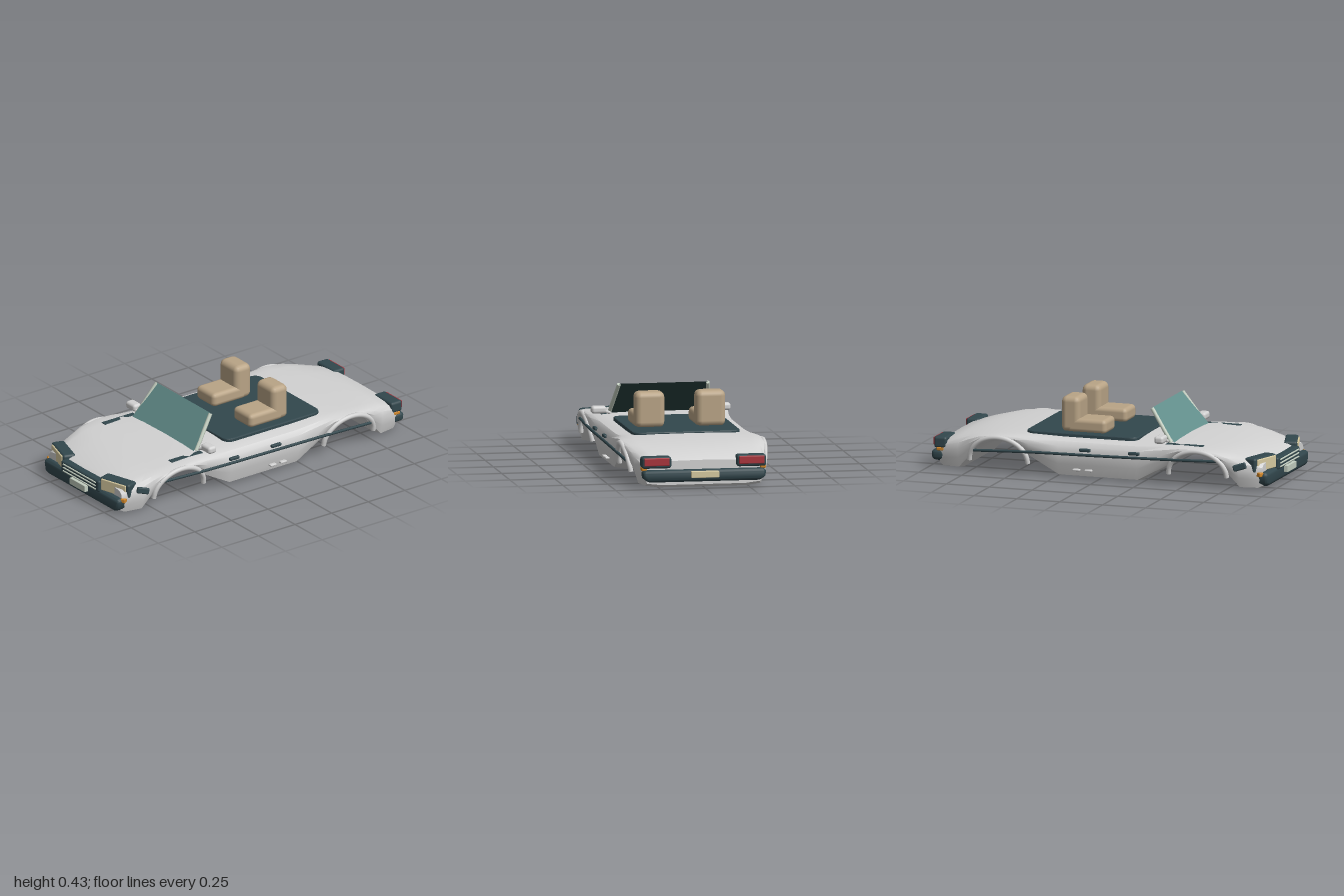
import * as THREE from 'three';
import { toCreasedNormals } from 'three/addons/utils/BufferGeometryUtils.js';
import { RoundedBoxGeometry } from 'three/addons/geometries/RoundedBoxGeometry.js';

const paint = (name, color) => Object.assign(new THREE.MeshStandardMaterial({ color }), { name });

export function createModel() {
  const car = new THREE.Group();
  car.name = 'convertible';
  const white = paint('bodyPaint', 0xd2d2d2);
  const dark = paint('darkTrim', 0x32474d);
  const glass = paint('glass', 0x64908d);
  const glassDark = paint('glassInside', 0x28403f);
  const tan = paint('seatLeather', 0xb9a486);
  const cream = paint('headlightLens', 0xd6c99f);
  const pale = paint('paleTrim', 0xc3cec0);
  const orange = paint('indicator', 0xd2882a);
  const red = paint('tailLens', 0xa8323a);

  const add = (name, geo, mat, x = 0, y = 0, z = 0, ry = 0) => {
    const m = new THREE.Mesh(geo, mat);
    m.name = name;
    m.position.set(x, y, z);
    m.rotation.y = ry;
    car.add(m);
    return m;
  };
  const box = (name, mat, [w, h, d], [x, y, z], r = 0.01, ry = 0) =>
    add(name, new RoundedBoxGeometry(w, h, d, 2, Math.min(r, w * 0.49, h * 0.49, d * 0.49)), mat, x, y, z, ry);
  const tube = (name, mat, pts, r) => add(name, new THREE.TubeGeometry(
    new THREE.CatmullRomCurve3(pts.map(p => new THREE.Vector3(...p))), 32, r, 10), mat);
  const rod = (name, mat, a, b, r) => {
    const p = new THREE.Vector3(...a), q = new THREE.Vector3(...b);
    const m = add(name, new THREE.CylinderGeometry(r, r, p.distanceTo(q), 10), mat);
    m.position.copy(p).lerp(q, 0.5);
    m.quaternion.setFromUnitVectors(new THREE.Vector3(0, 1, 0), q.sub(p).normalize());
  };

  // Body loft: z, half width, top, underside (rising over the wheel openings)
  const stations = [
    [-0.94, 0.335, 0.15, 0.015], [-0.92, 0.345, 0.165, 0], [-0.82, 0.365, 0.195, 0], [-0.755, 0.38, 0.206, 0.075],
    [-0.69, 0.392, 0.214, 0.15], [-0.58, 0.4, 0.222, 0.185], [-0.47, 0.395, 0.226, 0.155], [-0.4, 0.39, 0.227, 0.1],
    [-0.23, 0.39, 0.228, 0], [0.23, 0.39, 0.228, 0], [0.4, 0.392, 0.227, 0.1], [0.47, 0.396, 0.225, 0.155],
    [0.58, 0.402, 0.22, 0.185], [0.69, 0.395, 0.211, 0.15], [0.755, 0.385, 0.204, 0.075], [0.82, 0.375, 0.193, 0],
    [0.92, 0.35, 0.168, 0], [0.945, 0.34, 0.155, 0.015]];
  const half = [[0, 0], [0.7, 0], [0.94, 0.07], [0.985, 0.35], [1, 0.6], [0.985, 0.78], [0.93, 0.89], [0.8, 0.945], [0.45, 0.985], [0, 1]];
  const ring = [...half, ...half.slice(1, -1).reverse().map(([x, y]) => [-x, y])];
  const n = ring.length, pos = [], idx = [];
  for (const [z, w, top, low] of stations)
    for (const [x, t] of ring) pos.push(x * w, low + t * (top - low), z);
  for (let i = 0; i < stations.length - 1; i++)
    for (let j = 0; j < n; j++) {
      const a = i * n + j, b = i * n + (j + 1) % n;
      idx.push(a, b, a + n, b, b + n, a + n);
    }
  const last = (stations.length - 1) * n;
  for (let j = 1; j < n - 1; j++) idx.push(0, j + 1, j, last, last + j, last + j + 1);
  const shell = new THREE.BufferGeometry();
  shell.setAttribute('position', new THREE.Float32BufferAttribute(pos, 3));
  shell.setIndex(idx);
  add('body', toCreasedNormals(shell, 0.6), white);

  // Cockpit deck with rounded corners
  const hw = 0.295, hl = 0.32, c = 0.05;
  const plan = new THREE.Shape();
  plan.moveTo(-hw + c, -hl);
  plan.lineTo(hw - c, -hl).quadraticCurveTo(hw, -hl, hw, -hl + c);
  plan.lineTo(hw, hl - c).quadraticCurveTo(hw, hl, hw - c, hl);
  plan.lineTo(-hw + c, hl).quadraticCurveTo(-hw, hl, -hw, hl - c);
  plan.lineTo(-hw, -hl + c).quadraticCurveTo(-hw, -hl, -hw + c, -hl);
  const deck = new THREE.ExtrudeGeometry(plan, { depth: 0.018, bevelThickness: 0.006, bevelSize: 0.006, bevelSegments: 2 });
  add('cockpitDeck', deck.rotateX(-Math.PI / 2), dark, 0, 0.212, -0.125);

  // Windshield: one outward and one inward sheet
  const sheet = (name, mat, order, dz) => {
    const corners = [[-0.285, 0.215, 0.415], [0.285, 0.215, 0.415], [0.245, 0.402, 0.27], [-0.245, 0.402, 0.27]];
    const g = new THREE.BufferGeometry();
    g.setAttribute('position', new THREE.Float32BufferAttribute(corners.flatMap(([x, y, z]) => [x, y, z + dz]), 3));
    g.setIndex(order);
    g.computeVertexNormals();
    add(name, g, mat);
  };
  sheet('windshieldOutside', glass, [0, 1, 2, 0, 2, 3], 0.002);
  sheet('windshieldInside', glassDark, [0, 2, 1, 0, 3, 2], -0.002);

  // Mirrored parts
  for (const s of [-1, 1]) {
    rod('windshieldPillar', pale, [s * 0.282, 0.22, 0.395], [s * 0.248, 0.398, 0.272], 0.011);
    box('mirror', white, [0.084, 0.042, 0.055], [s * 0.347, 0.249, 0.357], 0.016);
    rod('mirrorArm', white, [s * 0.275, 0.225, 0.38], [s * 0.33, 0.245, 0.36], 0.009);
    box('hoodVent', dark, [0.038, 0.016, 0.215], [s * 0.308, 0.213, 0.485], 0.004);

    // Seat
    box('seatCushion', tan, [0.165, 0.08, 0.23], [s * 0.17, 0.27, -0.112], 0.025);
    box('seatBack', tan, [0.165, 0.2, 0.11], [s * 0.17, 0.33, -0.207], 0.032);

    // Wheel arch lips
    for (const zc of [-0.58, 0.58]) {
      const pts = [];
      for (let i = 0; i <= 12; i++) {
        const a = Math.PI * i / 12;
        pts.push([s * (0.37 + 0.026 * Math.sin(a)), 0.065 + 0.137 * Math.sin(a), zc + 0.17 * Math.cos(a)]);
      }
      tube('wheelArch', white, pts, 0.014);
    }

    // Side trim, handles and sill slots
    tube('sideTrim', dark, [[s * 0.388, 0.155, 0.72], [s * 0.398, 0.148, 0.4], [s * 0.395, 0.14, 0],
      [s * 0.396, 0.135, -0.4], [s * 0.388, 0.122, -0.72]], 0.008);
    for (const z of [0.215, -0.07]) box('doorHandle', dark, [0.02, 0.018, 0.065], [s * 0.391, 0.166, z], 0.006);
    for (const z of [-0.05, -0.12]) box('sillSlot', white, [0.024, 0.012, 0.042], [s * 0.388, 0.052, z], 0.005);
    box('fenderMarker', dark, [0.02, 0.036, 0.075], [s * 0.372, 0.13, 0.825], 0.008, -s * 0.2).rotation.x = -0.3;

    // Headlight
    box('headlightHousing', dark, [0.2, 0.085, 0.075], [s * 0.253, 0.136, 0.905], 0.014, s * 0.3);
    box('headlightLens', cream, [0.168, 0.068, 0.012], [s * 0.26, 0.137, 0.942], 0.005, s * 0.3);
    box('frontIndicator', orange, [0.03, 0.025, 0.05], [s * 0.336, 0.089, 0.925], 0.006, s * 0.5);

    // Tail light
    box('tailHousing', dark, [0.165, 0.064, 0.075], [s * 0.265, 0.142, -0.93], 0.014);
    box('tailLens', red, [0.142, 0.044, 0.014], [s * 0.265, 0.147, -0.966], 0.005);
    box('rearIndicator', orange, [0.03, 0.02, 0.045], [s * 0.332, 0.106, -0.93], 0.006);
  }

  // Bumpers, tapering towards the bottom edge
  const bumper = (name, h, y, z) => {
    const g = new RoundedBoxGeometry(0.69, h, 0.08, 3, 0.022), p = g.attributes.position;
    for (let i = 0; i < p.count; i++) {
      const f = Math.max(0, -p.getY(i) / h - 0.1);
      p.setX(i, p.getX(i) * (1 - 0.2 * f));
    }
    add(name, toCreasedNormals(g, 0.6), dark, 0, y, z);
  };
  bumper('frontBumper', 0.082, 0.06, 0.937);
  bumper('rearBumper', 0.066, 0.067, -0.945);

  // Grille and plates
  box('grille', dark, [0.35, 0.07, 0.06], [0, 0.12, 0.953], 0.012);
  for (const y of [0.1, 0.12, 0.14]) box('grilleSlat', pale, [0.3, 0.008, 0.012], [0, y, 0.983], 0.003);
  box('frontPlate', pale, [0.14, 0.038, 0.03], [0, 0.073, 0.985], 0.003);
  box('rearPlate', cream, [0.155, 0.036, 0.03], [0, 0.076, -0.985], 0.003);
  return car;
}
